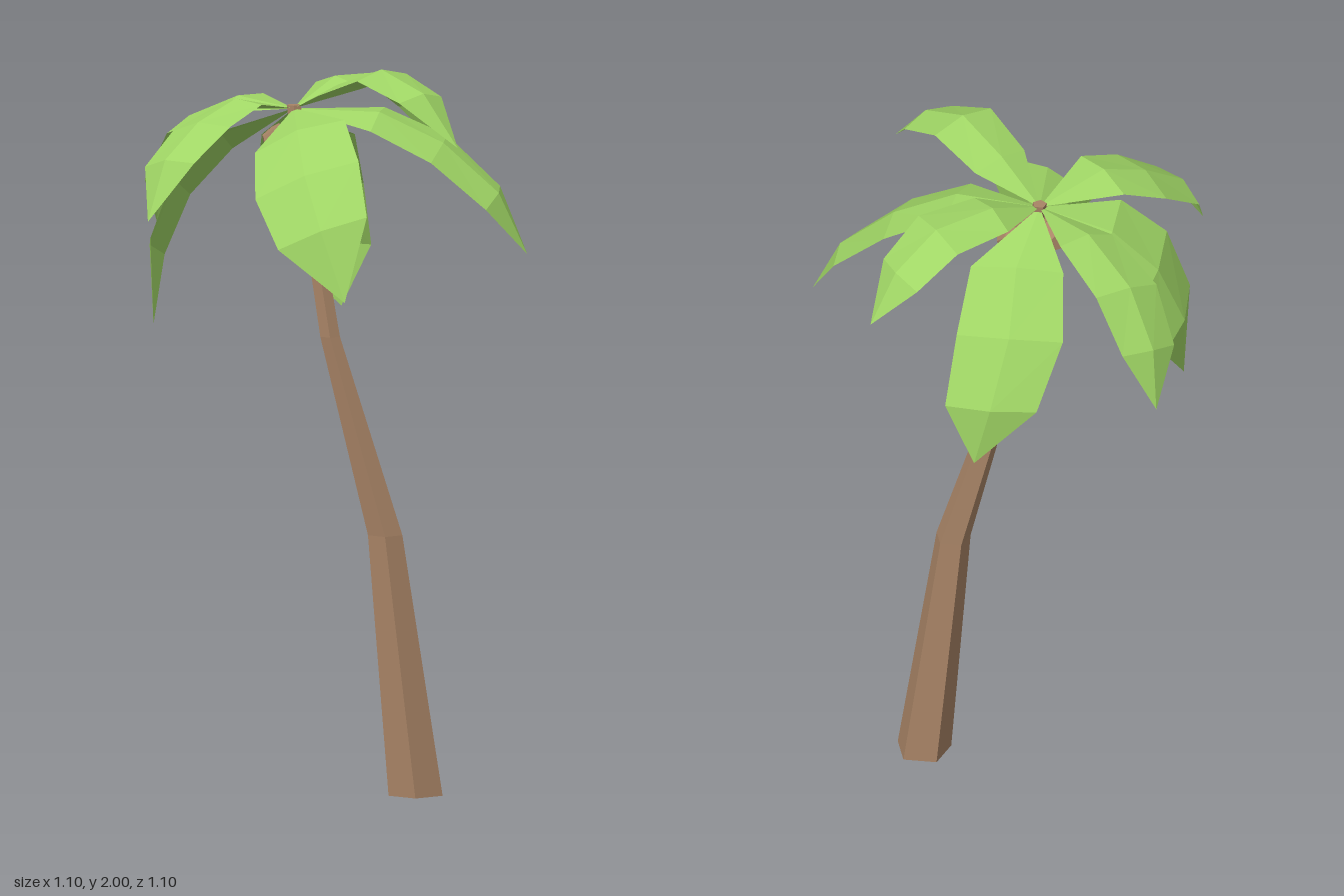
import * as THREE from 'three';

const leafGreen = new THREE.MeshStandardMaterial({ color: 0xa0d665, flatShading: true, side: THREE.DoubleSide });
leafGreen.name = 'leafGreen';
const barkBrown = new THREE.MeshStandardMaterial({ color: 0xa88466, flatShading: true });
barkBrown.name = 'barkBrown';

const CROWN = new THREE.Vector3(-0.015, 1.865, 0);

// Trunk rings from top to bottom: x, y, z, radius
const TRUNK = [
  [-0.015, 1.875, 0, 0.02],
  [0.092, 1.25, -0.045, 0.028],
  [0.192, 0.71, -0.157, 0.049],
  [0.25, 0, -0.217, 0.077],
];

// Each frond: heading in degrees, widest width, sideways slope, spine from crown to tip
const FRONDS = [
  { heading: 170, width: 0.206, roll: 0.2, spine: [[-0.21, 1.86, 0.04], [-0.385, 1.79, 0.07], [-0.485, 1.65, 0.085], [-0.55, 1.5, 0.075]] },
  { heading: -13, width: 0.2, roll: 0, spine: [[0.15, 1.925, -0.035], [0.295, 1.98, -0.072], [0.422, 1.93, -0.11], [0.548, 1.81, -0.145]] },
  { heading: -94, width: 0.2, roll: 0.06, spine: [[-0.052, 1.915, -0.168], [-0.065, 1.91, -0.338], [-0.072, 1.82, -0.457], [-0.075, 1.69, -0.55]] },
  { heading: 79, width: 0.214, roll: -0.15, spine: [[0.008, 1.89, 0.205], [0.018, 1.84, 0.33], [0.045, 1.755, 0.455], [0.07, 1.61, 0.545]] },
  { heading: -45, width: 0.265, roll: -0.15, spine: [[0.145, 1.84, -0.165], [0.25, 1.76, -0.295], [0.357, 1.63, -0.398], [0.43, 1.48, -0.46]] },
  { heading: 39, width: 0.28, roll: -0.38, spine: [[0.175, 1.82, 0.115], [0.3, 1.72, 0.18], [0.415, 1.59, 0.21], [0.505, 1.41, 0.2]] },
  { heading: 135, width: 0.27, roll: -0.33, spine: [[-0.11, 1.78, 0.16], [-0.165, 1.66, 0.265], [-0.188, 1.495, 0.33], [-0.15, 1.29, 0.37]] },
  { heading: 215, width: 0.29, roll: 0, spine: [[-0.13, 1.77, -0.13], [-0.22, 1.62, -0.2], [-0.262, 1.44, -0.28], [-0.25, 1.27, -0.325]] },
];
const WIDTH_PROFILE = [0.87, 1, 0.86];
const RIDGE = 0.022;

// Five-sided bent trunk: a cylinder whose rings are moved onto the curve
function makeTrunk() {
  const geo = new THREE.CylinderGeometry(1, 1, 1, 5, 3, false, -Math.PI / 2);
  const pos = geo.attributes.position;
  for (let i = 0; i < pos.count; i++) {
    const [x, y, z, r] = TRUNK[Math.round((0.5 - pos.getY(i)) * 3)];
    pos.setXYZ(i, x + pos.getX(i) * r, y, z + pos.getZ(i) * r);
  }
  const flat = geo.toNonIndexed();
  flat.computeVertexNormals();
  const trunk = new THREE.Mesh(flat, barkBrown);
  trunk.name = 'trunk';
  return trunk;
}

// Folded leaf blade: edge, raised ridge and edge at every section, pointed at both ends
function makeFrond({ heading, width, roll, spine }) {
  const a = THREE.MathUtils.degToRad(heading);
  const side = new THREE.Vector3(-Math.sin(a), roll, Math.cos(a));
  const points = [CROWN, ...spine.map((p) => new THREE.Vector3(...p))];

  const rows = points.map((p, i) => {
    if (i === 0 || i === points.length - 1) return [p, p, p];
    const tangent = points[i + 1].clone().sub(points[i - 1]);
    const up = side.clone().cross(tangent).normalize();
    const half = (width * WIDTH_PROFILE[i - 1]) / 2;
    return [
      p.clone().addScaledVector(side, -half),
      p.clone().addScaledVector(up, RIDGE),
      p.clone().addScaledVector(side, half),
    ];
  });

  const tris = [];
  for (let i = 0; i < rows.length - 1; i++) {
    for (let j = 0; j < 2; j++) {
      const [p, q, r, s] = [rows[i][j], rows[i][j + 1], rows[i + 1][j + 1], rows[i + 1][j]];
      if (p !== q) tris.push(p, q, r);
      if (r !== s) tris.push(p, r, s);
    }
  }
  const geo = new THREE.BufferGeometry().setFromPoints(tris);
  geo.computeVertexNormals();
  return new THREE.Mesh(geo, leafGreen);
}

export function createModel() {
  const model = new THREE.Group();
  model.name = 'palmTree';
  model.add(makeTrunk());

  // Crown of leaves
  const crown = new THREE.Group();
  crown.name = 'crown';
  FRONDS.forEach((f, i) => {
    const frond = makeFrond(f);
    frond.name = `frond${i + 1}`;
    crown.add(frond);
  });
  model.add(crown);

  // Coconuts clustered under the crown
  const nut = new THREE.DodecahedronGeometry(0.05);
  [[-0.035, 1.775, 0.035], [-0.01, 1.785, -0.075], [0.035, 1.78, 0.025]].forEach((p, i) => {
    const coconut = new THREE.Mesh(nut, barkBrown);
    coconut.name = `coconut${i + 1}`;
    coconut.position.set(...p);
    coconut.rotation.set(i * 0.8, i * 1.3, 0.4);
    model.add(coconut);
  });
  return model;
}
